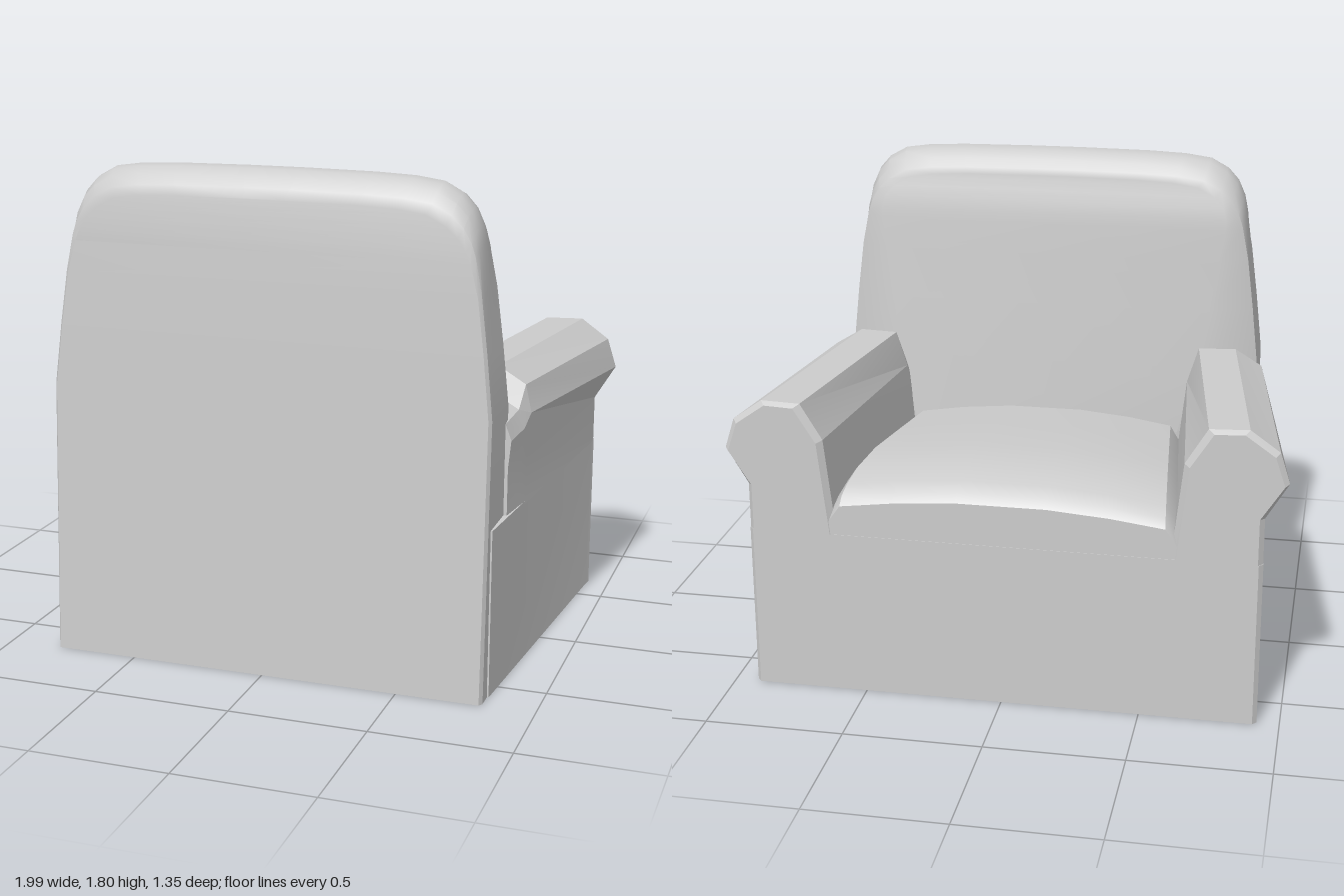
import * as THREE from 'three';
import { toCreasedNormals } from 'three/addons/utils/BufferGeometryUtils.js';

const lerp = THREE.MathUtils.lerp;

// Joins closed rings of [x, y, z] points; end caps are strips pairing point i with its opposite.
function loft(rings, crease = 0.5) {
  const n = rings[0].length;
  const index = [];
  const quad = (a, b, c, d) => index.push(a, b, c, a, c, d);
  for (let r = 0; r < rings.length - 1; r++) {
    for (let i = 0; i < n; i++) {
      const j = (i + 1) % n;
      quad(r * n + i, r * n + j, (r + 1) * n + j, (r + 1) * n + i);
    }
  }
  const last = (rings.length - 1) * n;
  for (let i = 0; i < Math.floor((n - 1) / 2); i++) {
    const a = i, b = i + 1, c = n - 2 - i, d = n - 1 - i;
    quad(d, c, b, a);
    quad(last + a, last + b, last + c, last + d);
  }
  // Turn the faces outward when the enclosed volume is negative
  const pts = rings.flat().map((p) => new THREE.Vector3(...p));
  let volume = 0;
  for (let i = 0; i < index.length; i += 3) {
    const cross = pts[index[i + 1]].clone().cross(pts[index[i + 2]]);
    volume += pts[index[i]].dot(cross);
  }
  if (volume < 0) index.reverse();
  const g = new THREE.BufferGeometry().setFromPoints(pts);
  g.setIndex(index);
  return toCreasedNormals(g, crease);
}

// Piecewise-linear lookup in a list of [key, value]
function sample(table, k) {
  if (k <= table[0][0]) return table[0][1];
  for (let i = 1; i < table.length; i++) {
    const [k0, v0] = table[i - 1], [k1, v1] = table[i];
    if (k <= k1) return lerp(v0, v1, (k - k0) / (k1 - k0));
  }
  return table[table.length - 1][1];
}

// Base: tapering footprint with small chamfers at the open end
function baseGeometry() {
  const half = [[0.816, 0.6], [0.915, -0.63], [0.92, -0.655], [0.905, -0.672]];
  const outline = [...half, ...half.map(([x, z]) => [-x, z]).reverse()];
  return loft([0, 0.61].map((y) => outline.map(([x, z]) => [x, y, z])));
}

// Backrest: rounded outline swept through its leaning thickness
function backGeometry() {
  const half = [[0.81, 0], [0.81, 0.75], [0.81, 1.0], [0.786, 1.22], [0.762, 1.42], [0.745, 1.58],
    [0.733, 1.64], [0.707, 1.7], [0.667, 1.745], [0.6, 1.782], [0.5, 1.796], [0.36, 1.802], [0.1, 1.805]];
  const outline = [...half, ...half.map(([x, y]) => [-x, y]).reverse()];
  const rear = [[0, 0.677], [1.55, 0.602], [1.8, 0.6]];
  const front = [[0.75, 0.235], [1.0, 0.275], [1.22, 0.31], [1.58, 0.36], [1.72, 0.382]];
  const wing = [[0.75, 0.29], [1.0, 0.225], [1.22, 0.16], [1.58, 0.06], [1.72, 0.02]];
  // Each layer: depth from the rear face, drop of the top edge, side inset
  const layers = [[0, 0.1, 0.01], [0.012, 0.065, 0], [0.04, 0.028, 0], [0.075, 0.007, 0], [0.11, 0, 0],
    [0.15, 0.01, 0], [0.19, 0.038, 0], [0.215, 0.07, 0]];
  const rings = layers.map(([depth, drop, inset], k) => outline.map(([x, y]) => {
    const top = THREE.MathUtils.smoothstep(y, 1.35, 1.78);
    const z0 = sample(rear, y);
    return [x - Math.sign(x) * (inset + 0.25 * drop * top), y - drop * top,
      lerp(z0, 0.385, depth / 0.215)];
  }));
  // Front cushion face, chamfered in from the side wings
  rings.push(outline.map(([x, y]) => {
    const top = THREE.MathUtils.smoothstep(y, 1.35, 1.78);
    const yy = y - 0.095 * top;
    return [x - Math.sign(x) * Math.min(sample(wing, y) + 0.02 * top, Math.abs(x) * 0.4), yy, sample(front, yy)];
  }));
  return loft(rings);
}

// Armrest: bulging profile narrowing toward the backrest
function armGeometry(side) {
  const open = [[0.92, 0.6], [0.92, 0.78], [1.0, 0.91], [0.965, 1.02], [0.86, 1.095],
    [0.72, 1.09], [0.64, 0.96], [0.6, 0.6]];
  const rear = [[0.842, 0.6], [0.842, 0.78], [0.852, 0.94], [0.83, 1.04], [0.73, 1.1],
    [0.59, 1.095], [0.55, 0.96], [0.51, 0.6]];
  const sections = [[-0.672, 0.018, 0], [-0.652, 0, 0], [0.235, 0, 0], [0.29, 0.004, 0.08], [0.42, 0.02, 0.09]];
  return loft(sections.map(([z, inset, drop]) => {
    const t = Math.min((z + 0.67) / 0.95, 1);
    return open.map(([x, y], i) => {
      const px = lerp(x, rear[i][0], t), py = lerp(y, rear[i][1], t);
      const cx = lerp(0.8, 0.68, t);
      const up = THREE.MathUtils.clamp((py - 0.8) / 0.25, 0, 1);
      return [side * (px - Math.sign(px - cx) * inset), py - (drop + inset * 0.7) * up, z];
    });
  }), 0.3);
}

// Seat cushion: rolled edge, crowned across its width
function seatGeometry() {
  const profile = [[-0.67, 0.58], [-0.67, 0.735], [-0.645, 0.765], [-0.59, 0.79], [-0.49, 0.815],
    [-0.3, 0.825], [0, 0.805], [0.27, 0.785], [0.3, 0.58]];
  const across = [[-1, -0.13], [-0.96, -0.07], [-0.9, -0.015], [-0.6, 0.01], [-0.25, 0.027], [0.25, 0.027],
    [0.6, 0.01], [0.9, -0.015], [0.96, -0.07], [1, -0.13]];
  return loft(across.map(([u, crown]) => profile.map(([z, y]) => {
    const halfWidth = lerp(0.645, 0.545, (z + 0.67) / 0.95);
    return [u * halfWidth, y > 0.6 ? y + crown : y, z];
  })), 0.6);
}

export function createModel() {
  const group = new THREE.Group();
  group.name = 'armchair';
  const fabric = new THREE.MeshStandardMaterial({ color: 0xcccccc });
  fabric.name = 'grey fabric';
  const add = (name, geometry) => {
    const mesh = new THREE.Mesh(geometry, fabric);
    mesh.name = name;
    group.add(mesh);
  };
  add('base', baseGeometry());
  add('backrest', backGeometry());
  add('seatCushion', seatGeometry());
  add('leftArmrest', armGeometry(1));
  add('rightArmrest', armGeometry(-1));
  return group;
}
